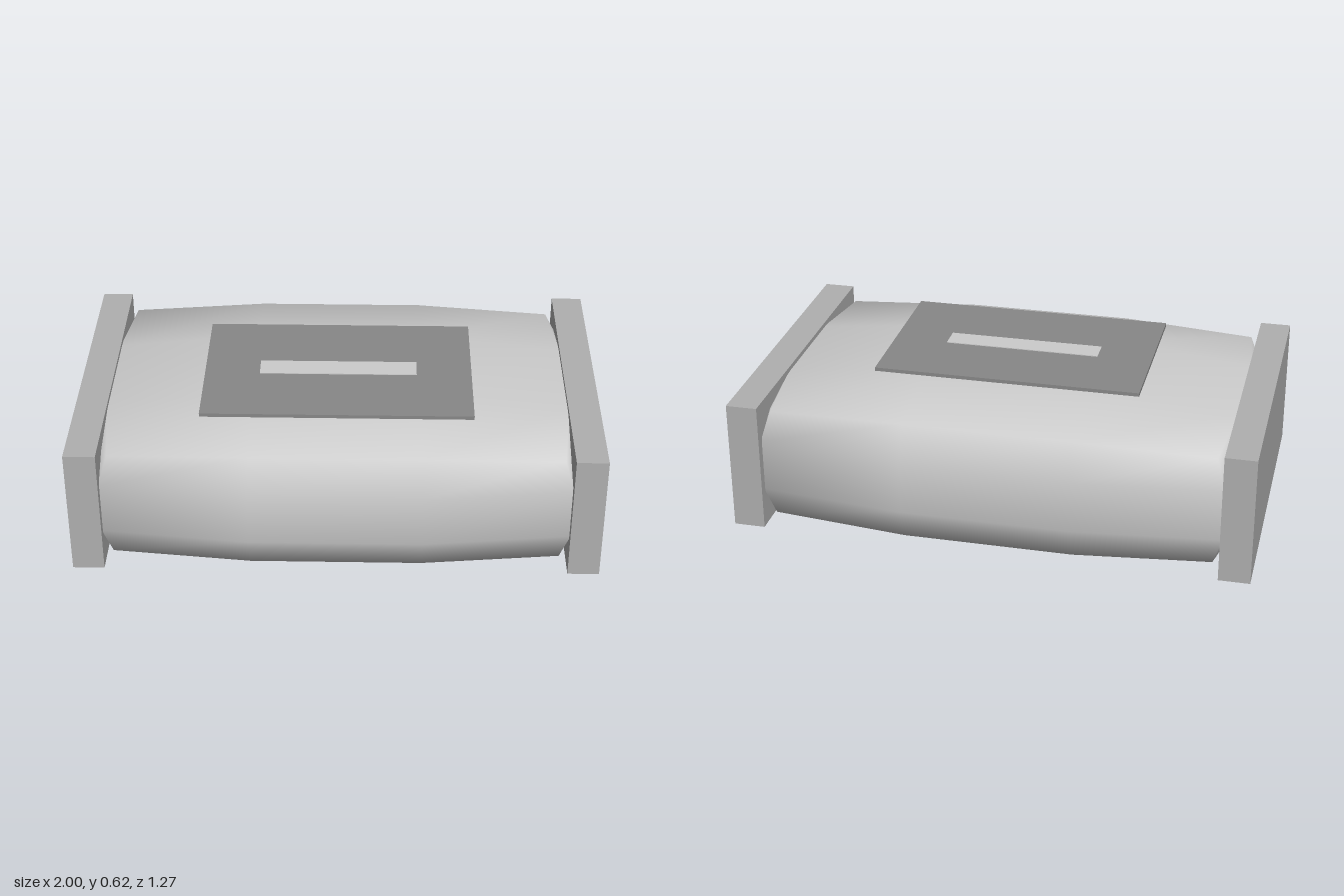
import * as THREE from 'three';
import { mergeVertices } from 'three/addons/utils/BufferGeometryUtils.js';

const material = (color) => new THREE.MeshStandardMaterial({ color });

// Box given by its min and max corners
function box(name, [x0, y0, z0], [x1, y1, z1], mat) {
  const mesh = new THREE.Mesh(new THREE.BoxGeometry(x1 - x0, y1 - y0, z1 - z0), mat);
  mesh.position.set((x0 + x1) / 2, (y0 + y1) / 2, (z0 + z1) / 2);
  mesh.name = name;
  return mesh;
}

// Pillow: a 3x3x3 box whose edges and corners are pulled in.
// Each axis lists its inner position, then its outer position on a face, edge and corner.
function pillowGeometry(axes) {
  let geo = new THREE.BoxGeometry(2, 2, 2, 3, 3, 3);
  const pos = geo.attributes.position;
  for (let i = 0; i < pos.count; i++) {
    const p = [pos.getX(i), pos.getY(i), pos.getZ(i)];
    const outer = p.filter((v) => Math.abs(v) > 0.9).length;
    const q = p.map((v, a) => Math.sign(v) * axes[a][Math.abs(v) > 0.9 ? outer : 0]);
    pos.setXYZ(i, ...q);
  }
  // Weld the six sides so that the normals run smoothly around
  geo.deleteAttribute('uv');
  geo.deleteAttribute('normal');
  geo = mergeVertices(geo, 1e-4);
  geo.computeVertexNormals();
  return geo;
}

export function createModel() {
  const group = new THREE.Group();
  const light = material(0xcccccc);
  const medium = material(0xb0b0b0);
  const dark = material(0x888888);

  // Bulging body
  const body = new THREE.Mesh(pillowGeometry([
    [0.325, 0.975, 0.885, 0.85],
    [0.102, 0.3, 0.238, 0.218],
    [0.215, 0.635, 0.572, 0.542],
  ]), light);
  body.position.y = 0.303;
  body.name = 'body';
  group.add(body);

  // End plates
  group.add(box('leftEndPlate', [0.88, 0.05, -0.607], [1, 0.56, 0.607], medium));
  group.add(box('rightEndPlate', [-1, 0.05, -0.607], [-0.88, 0.56, 0.607], medium));

  // Top panel with its raised strip
  group.add(box('topPanel', [-0.515, 0.602, -0.272], [0.515, 0.616, 0.392], dark));
  group.add(box('panelStrip', [-0.303, 0.61, 0.012], [0.303, 0.619, 0.104], light));

  return group;
}
